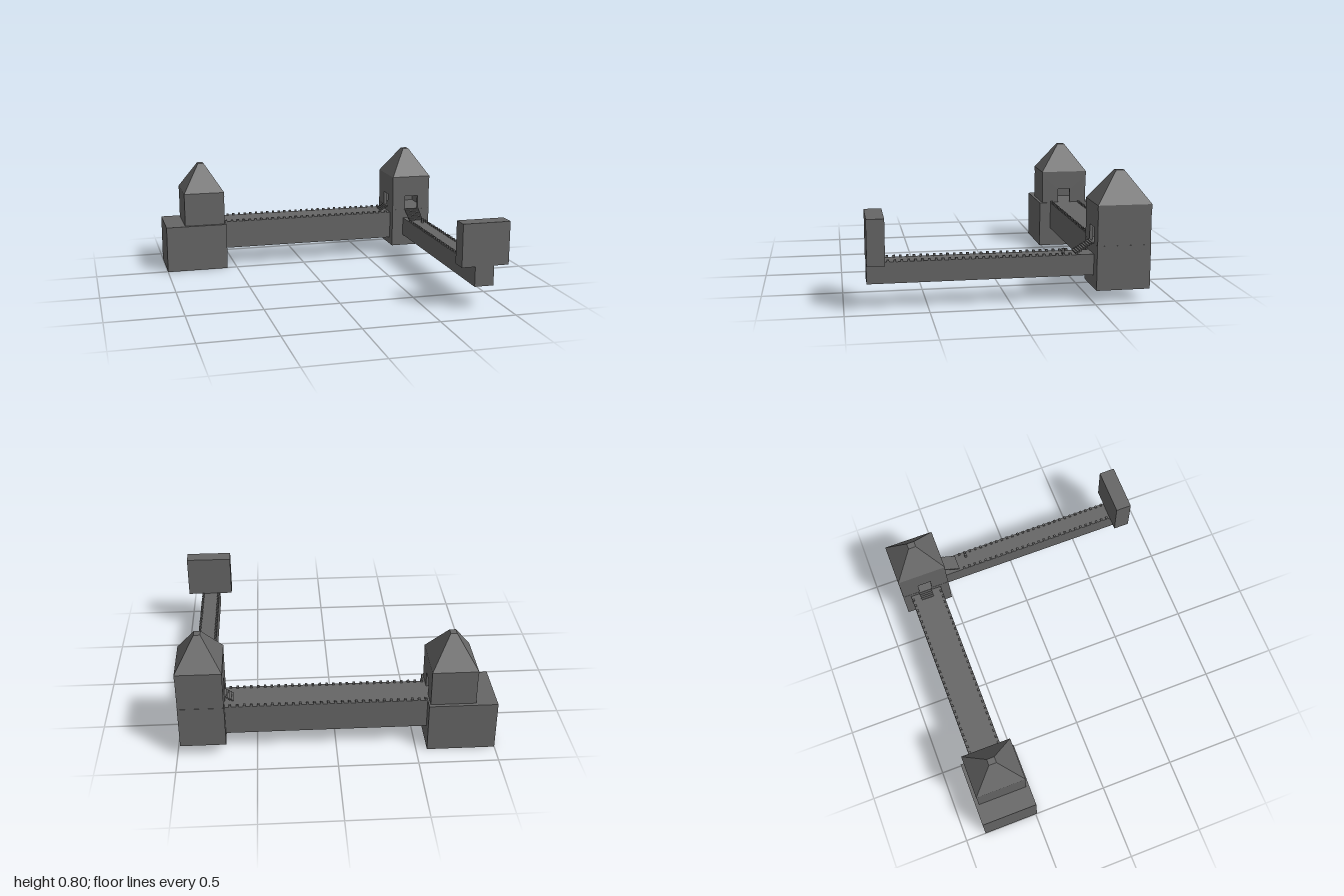
import * as THREE from 'three';

const stone = new THREE.MeshStandardMaterial({ color: 0x666666 });
stone.name = 'grey stone';

// Box given by its limits on each axis
function block(parent, name, [x0, x1], [y0, y1], [z0, z1]) {
  const mesh = new THREE.Mesh(new THREE.BoxGeometry(x1 - x0, y1 - y0, z1 - z0), stone);
  mesh.position.set((x0 + x1) / 2, (y0 + y1) / 2, (z0 + z1) / 2);
  mesh.name = name;
  parent.add(mesh);
  return mesh;
}

// Upright slab centred on x = 0 with its outer face at z = 0; door = [centre, width, height]
function towerWall(width, height, door) {
  const w = width / 2;
  const pts = [[-w, 0]];
  if (door) {
    const [c, dw, dh] = door;
    pts.push([c - dw / 2, 0], [c - dw / 2, dh], [c + dw / 2, dh], [c + dw / 2, 0]);
  }
  pts.push([w, 0], [w, height], [-w, height]);
  const shape = new THREE.Shape(pts.map(([x, y]) => new THREE.Vector2(x, y)));
  const geo = new THREE.ExtrudeGeometry(shape, { depth: 0.02, bevelEnabled: false });
  return geo.translate(0, 0, -0.02);
}

// Pyramid with a small flat top above a thin eave
function roof(width, depth, height, topW, topD) {
  const geo = new THREE.BoxGeometry(width, height, depth).toNonIndexed();
  const p = geo.attributes.position;
  for (let i = 0; i < p.count; i++) {
    if (p.getY(i) > 0) {
      p.setX(i, Math.sign(p.getX(i)) * topW / 2);
      p.setZ(i, Math.sign(p.getZ(i)) * topD / 2);
    }
  }
  geo.translate(0, height / 2, 0);
  geo.computeVertexNormals();
  return geo;
}

// Hollow tower room; doors are keyed by side: front, right (+x), back, left (-x)
function tower(name, x, z, y0, eaveY, topY, doors) {
  const g = new THREE.Group();
  g.name = name;
  g.position.set(x, 0, z);
  const w = 0.284, d = 0.33;
  const sides = [['front', w, d / 2, 0], ['right', d, w / 2, 1], ['back', w, d / 2, 2], ['left', d, w / 2, 3]];
  for (const [side, width, out, turn] of sides) {
    const m = new THREE.Mesh(towerWall(width, eaveY - 0.03 - y0, doors[side]), stone);
    const a = turn * Math.PI / 2;
    m.rotation.y = a;
    m.position.set(Math.sin(a) * out, y0, Math.cos(a) * out);
    m.name = side + 'TowerWall';
    g.add(m);
  }
  block(g, 'eave', [-0.143, 0.143], [eaveY - 0.03, eaveY], [-0.167, 0.167]);
  const cap = new THREE.Mesh(roof(0.286, 0.334, topY - eaveY, 0.04, 0.05), stone);
  cap.position.y = eaveY;
  cap.name = 'roof';
  g.add(cap);
  return g;
}

export function createModel() {
  const model = new THREE.Group();
  model.name = 'fortifiedWall';

  // Left gatehouse
  block(model, 'leftBase', [-1, -0.57], [0, 0.325], [-0.863, -0.49]);
  model.add(tower('leftTower', -0.723, -0.675, 0.325, 0.557, 0.75, { right: [0, 0.09, 0.1] }));

  // Corner tower
  block(model, 'cornerBase', [0.692, 0.978], [0.08, 0.355], [-0.843, -0.51]);
  model.add(tower('cornerTower', 0.835, -0.676, 0.355, 0.603, 0.795,
    { front: [0.005, 0.1, 0.1], left: [0, 0.09, 0.1] }));

  // Wall walks and end block
  block(model, 'longWall', [-0.57, 0.692], [0.13, 0.325], [-0.79, -0.57]);
  block(model, 'sideWall', [0.775, 0.902], [0.16, 0.29], [-0.51, 0.863]);
  block(model, 'endBlock', [0.685, 1], [0.29, 0.57], [0.757, 0.863]);

  // Battlements along both edges of each wall
  const s = 0.0075;
  for (let i = 0; i < 29; i++) {
    const x = -0.56 + i * 0.0435;
    for (const z of [-0.781, -0.579])
      block(model, 'longWallMerlon', [x - s, x + s], [0.325, 0.337], [z - s, z + s]);
  }
  for (let i = 0; i < 28; i++) {
    const z = 0.735 - i * 0.0407;
    for (const x of [0.783, 0.894])
      block(model, 'sideWallMerlon', [x - s, x + s], [0.29, 0.302], [z - s, z + s]);
  }
  block(model, 'post', [0.855, 0.87], [0.29, 0.325], [-0.333, -0.318]);

  // Open stairs up to the corner tower doors
  for (let i = 0; i < 9; i++) {
    const z = -0.398 - i * 0.0125, y = 0.293 + i * 0.0075;
    block(model, 'sideStep', [0.787, 0.892], [y, y + 0.008], [z - 0.014, z]);
  }
  for (let i = 0; i < 5; i++) {
    const x = 0.638 + i * 0.0108, y = 0.327 + i * 0.007;
    block(model, 'longStep', [x, x + 0.012], [y, y + 0.008], [-0.728, -0.638]);
  }
  return model;
}
